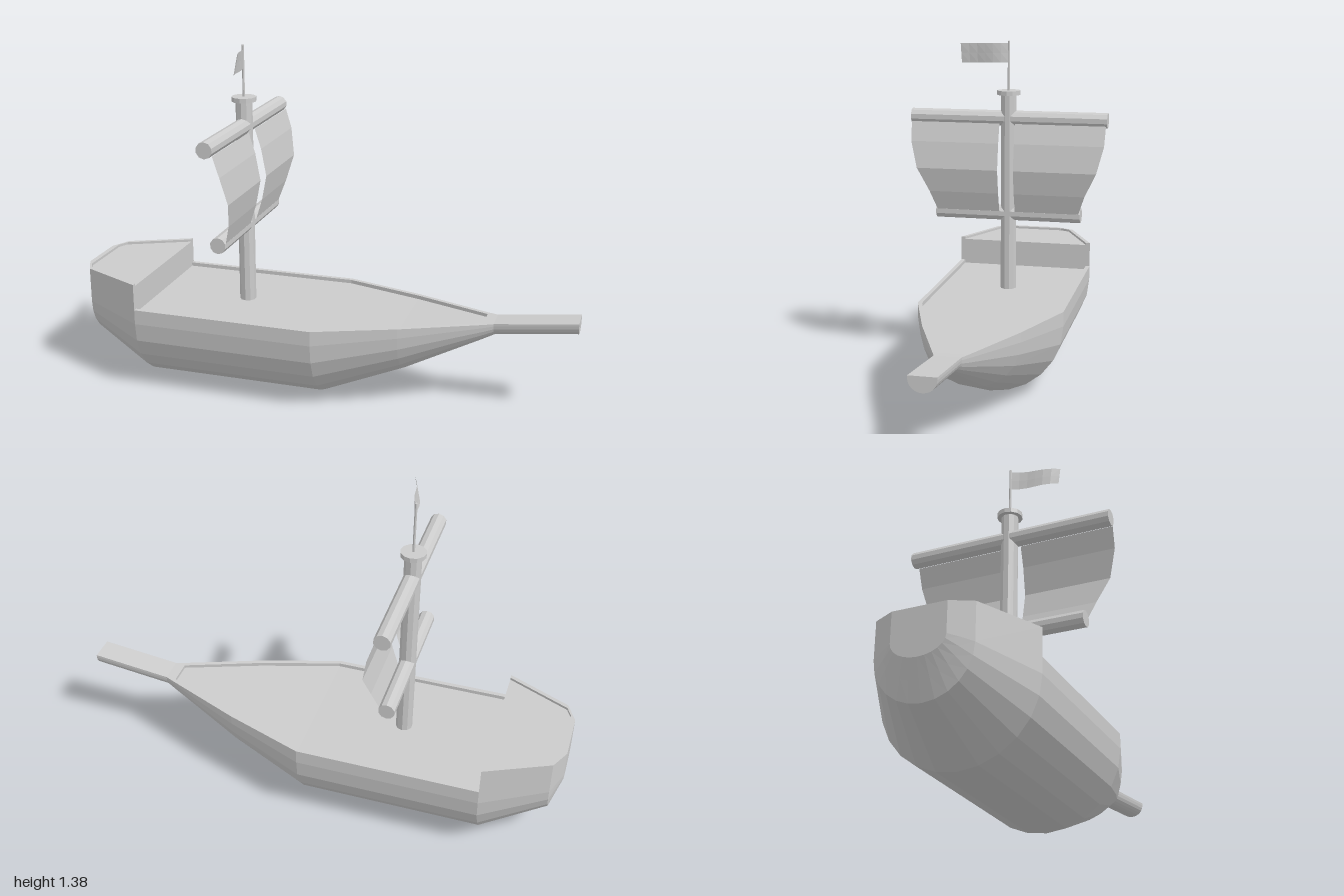
import * as THREE from 'three';

const mat = new THREE.MeshStandardMaterial({ color: 0xcccccc, flatShading: true });
const thin = new THREE.MeshStandardMaterial({ color: 0xcccccc, flatShading: true, side: THREE.DoubleSide });
const MAST_X = -0.34;

// U-shaped section: [x, halfWidth, keel, gunwale, railTop, deck]
function section([x, w, keel, gunwale, top, deck]) {
  const pts = [[x, top, w]];
  const yc = keel + 0.83 * (gunwale - keel);
  for (let i = 0; i <= 12; i++) {
    const a = (i / 12) * Math.PI;
    pts.push([x, yc - (yc - keel) * Math.sin(a), w * Math.cos(a)]);
  }
  const inner = w - Math.min(0.018, w * 0.4);
  pts.push([x, top, -w], [x, top, -inner], [x, deck, -inner], [x, deck, inner], [x, top, inner]);
  return pts;
}

// Closed loft through the sections, with both ends capped
function loft(stations) {
  const loops = stations.map(section);
  const n = loops[0].length;
  const index = [];
  for (let s = 0; s < loops.length - 1; s++) {
    for (let i = 0; i < n; i++) {
      const a = s * n + i, b = s * n + (i + 1) % n;
      index.push(a, b, a + n, b, b + n, a + n);
    }
  }
  const last = (loops.length - 1) * n;
  for (let i = 1; i < n - 1; i++) {
    index.push(0, i + 1, i);
    index.push(last, last + i, last + i + 1);
  }
  const geo = new THREE.BufferGeometry();
  geo.setAttribute('position', new THREE.Float32BufferAttribute(loops.flat(2), 3));
  geo.setIndex(index);
  const flat = geo.toNonIndexed();
  flat.computeVertexNormals();
  return flat;
}

// Thin cloth: fn(u, v) gives a point, u across and v down
function cloth(nu, nv, fn) {
  const geo = new THREE.PlaneGeometry(1, 1, nu, nv);
  const p = geo.attributes.position;
  for (let i = 0; i < p.count; i++) {
    p.setXYZ(i, ...fn(p.getX(i) + 0.5, 0.5 - p.getY(i)));
  }
  geo.computeVertexNormals();
  return geo;
}

export function createModel() {
  const ship = new THREE.Group();
  ship.name = 'sailingShip';
  const add = (name, geo, x = 0, y = 0, z = 0, material = mat) => {
    const mesh = new THREE.Mesh(geo, material);
    mesh.name = name;
    mesh.position.set(x, y, z);
    ship.add(mesh);
    return mesh;
  };

  // Hull with raised stern deck, rails and sunken main deck
  add('hull', loft([
    [-1.0, 0.10, 0.28, 0.355, 0.457, 0.457],
    [-0.98, 0.14, 0.21, 0.355, 0.457, 0.457],
    [-0.98, 0.14, 0.21, 0.355, 0.457, 0.447],
    [-0.96, 0.18, 0.14, 0.352, 0.457, 0.447],
    [-0.71, 0.297, 0, 0.35, 0.457, 0.447],
    [-0.71, 0.297, 0, 0.35, 0.35, 0.335],
    [0.02, 0.297, 0, 0.35, 0.35, 0.335],
    [0.335, 0.19, 0.13, 0.357, 0.357, 0.342],
    [0.64, 0.066, 0.285, 0.363, 0.363, 0.35],
    [0.64, 0.066, 0.285, 0.363, 0.363, 0.363],
    [0.68, 0.05, 0.307, 0.365, 0.365, 0.365],
  ]));
  add('bowsprit', loft([
    [0.68, 0.05, 0.307, 0.365, 0.365, 0.365],
    [1.0, 0.05, 0.348, 0.405, 0.405, 0.405],
  ]));

  // Mast, cap and flagpole
  add('mast', new THREE.CylinderGeometry(0.033, 0.033, 0.84, 10), MAST_X, 0.74);
  add('mastCap', new THREE.CylinderGeometry(0.049, 0.049, 0.018, 12), MAST_X, 1.166);
  add('flagpole', new THREE.CylinderGeometry(0.005, 0.005, 0.21, 8), MAST_X, 1.272);

  // Yards
  for (const [name, y, half] of [['upperYard', 1.06, 0.412], ['lowerYard', 0.661, 0.307]]) {
    add(name, new THREE.CylinderGeometry(0.032, 0.032, half * 2, 10), MAST_X, y).rotation.x = Math.PI / 2;
  }

  // Pair of billowing sails; rows are [y, x, outer z]
  const rows = [
    [1.04, -0.31, 0.408], [0.96, -0.285, 0.405], [0.85, -0.265, 0.377],
    [0.75, -0.285, 0.328], [0.67, -0.31, 0.3],
  ];
  for (const side of [1, -1]) {
    const geo = cloth(4, rows.length - 1, (u, v) => {
      const [y, x, outer] = rows[Math.round(v * (rows.length - 1))];
      return [x, y, side * (0.033 + u * (outer - 0.033))];
    });
    add(side > 0 ? 'leftSail' : 'rightSail', geo, 0, 0, 0, thin);
  }

  // Flag streaming sideways with a slight wave
  add('flag', cloth(6, 2, (u, v) => [
    MAST_X + (0.053 - 0.02 * v) * u + 0.006 * Math.sin(u * Math.PI * 2),
    1.368 - 0.08 * v,
    0.19 * u,
  ]), 0, 0, 0, thin);

  return ship;
}
